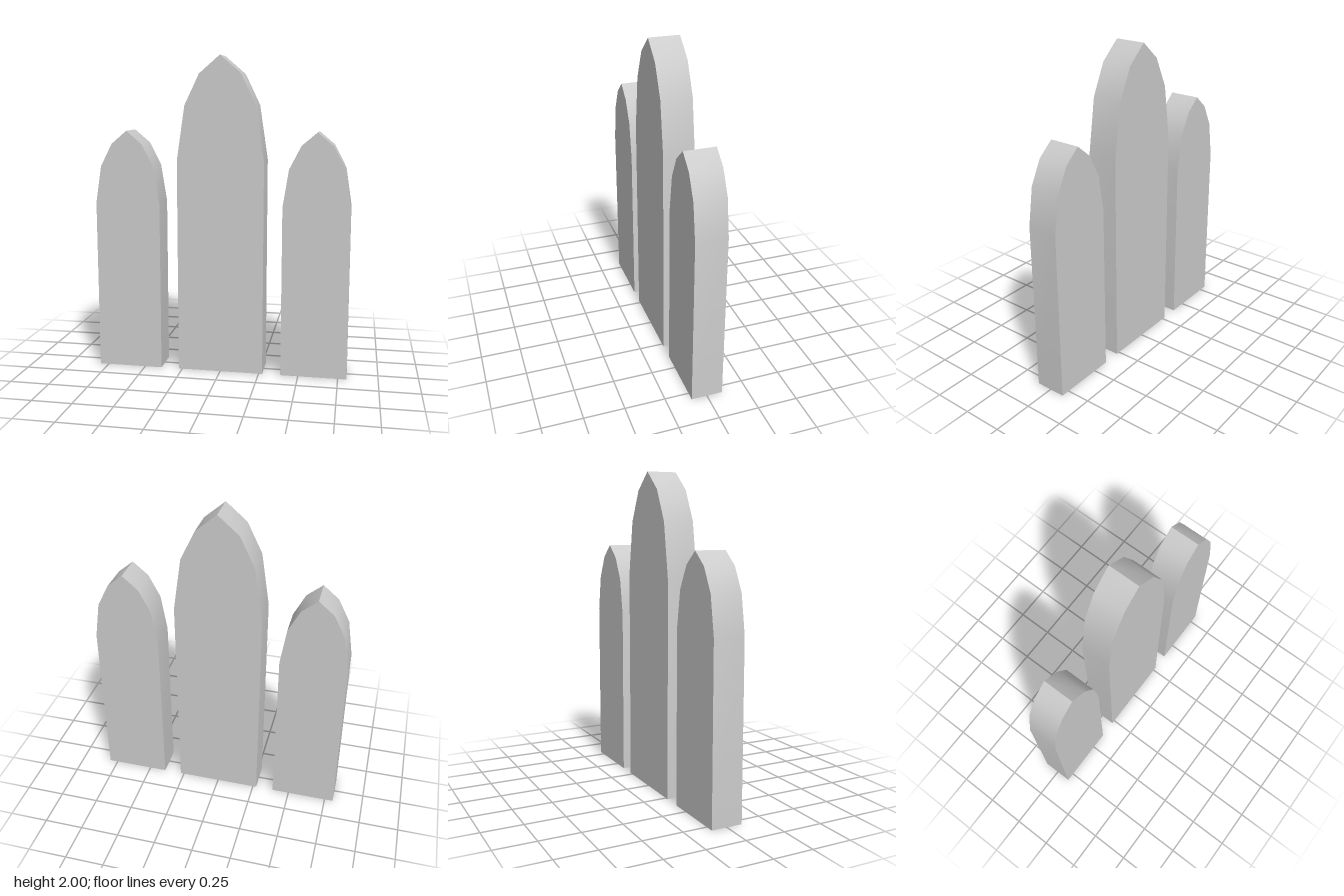
import * as THREE from 'three';
import { toCreasedNormals } from 'three/addons/utils/BufferGeometryUtils.js';

const DEPTH = 0.196;

// Pointed-arch slab: half outline from base corner up to the tip, mirrored in x
function archPanel(name, x, half, material) {
  const mirrored = half.slice(0, -1).reverse().map(([px, py]) => [-px, py]);
  const outline = [...half, ...mirrored].map(([px, py]) => new THREE.Vector2(px, py));
  const extruded = new THREE.ExtrudeGeometry(new THREE.Shape(outline), { depth: DEPTH, bevelEnabled: false });
  extruded.translate(0, 0, -DEPTH / 2);
  // Smooth along the arch, sharp at the tip and the face edges
  const mesh = new THREE.Mesh(toCreasedNormals(extruded, THREE.MathUtils.degToRad(40)), material);
  mesh.name = name;
  mesh.position.x = x;
  return mesh;
}

export function createModel() {
  const group = new THREE.Group();
  group.name = 'archPanels';
  const material = new THREE.MeshStandardMaterial({ color: 0xcccccc });

  // Tall middle panel
  const tall = [[0.273, 0], [0.273, 1.357], [0.222, 1.697], [0.13, 1.888], [0, 2]];
  group.add(archPanel('centerPanel', 0, tall, material));

  // Shorter panels on either side
  const short = [[0.208, 0], [0.208, 1.078], [0.171, 1.312], [0.098, 1.455], [0, 1.538]];
  for (const [name, side] of [['leftPanel', 1], ['rightPanel', -1]]) {
    group.add(archPanel(name, side * 0.597, short, material));
  }
  return group;
}
